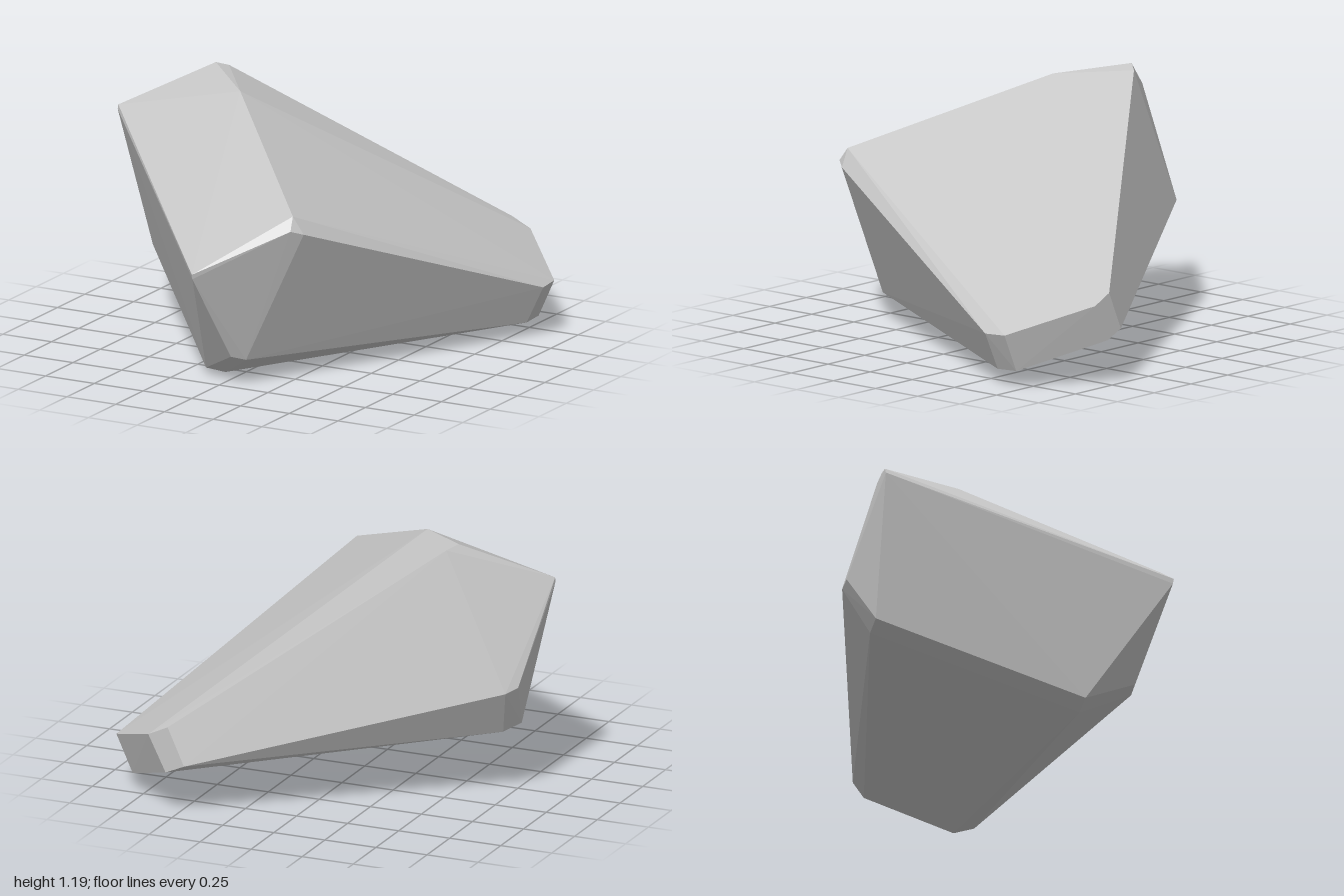
import * as THREE from 'three';
import { ConvexGeometry } from 'three/addons/geometries/ConvexGeometry.js';

export function createModel() {
  const group = new THREE.Group();
  group.name = 'rock';
  const stone = new THREE.MeshStandardMaterial({ color: 0xc5c5c5 });
  stone.name = 'light grey stone';

  // Corners of the chipped boulder, grouped by the edge they bevel
  const corners = [
    // front ridge, a narrow double edge
    [0, 0.575, 1], [0, 0.553, 0.995], [-0.91, 1.005, 0.05], [-0.91, 0.985, 0.055],
    // upper left end
    [-0.55, 1.19, -0.20], [-0.51, 1.17, -0.25], [-0.29, 1.15, 0.04],
    // lower left end
    [-0.84, 0.55, -0.20], [-0.80, 0.53, -0.25], [-0.80, 0.34, -0.07], [-0.74, 0.31, -0.14],
    // front right shoulder
    [0.35, 0.82, 0.70], [0.36, 0.76, 0.74], [0.40, 0.74, 0.69],
    // front foot
    [-0.08, 0, 0.55], [-0.14, 0.03, 0.62], [0.06, 0.14, 0.75], [0.11, 0.12, 0.70],
    // tapered back end, top and bottom rims
    [0.905, 0.245, -0.60], [0.90, 0.25, -0.71], [0.615, 0.38, -1], [0.52, 0.425, -1],
    [0.82, 0.07, -0.60], [0.82, 0.075, -0.71], [0.53, 0.21, -1], [0.44, 0.25, -1],
  ].map((p) => new THREE.Vector3(...p));

  const boulder = new THREE.Mesh(new ConvexGeometry(corners), stone);
  boulder.name = 'boulder';
  group.add(boulder);
  return group;
}
